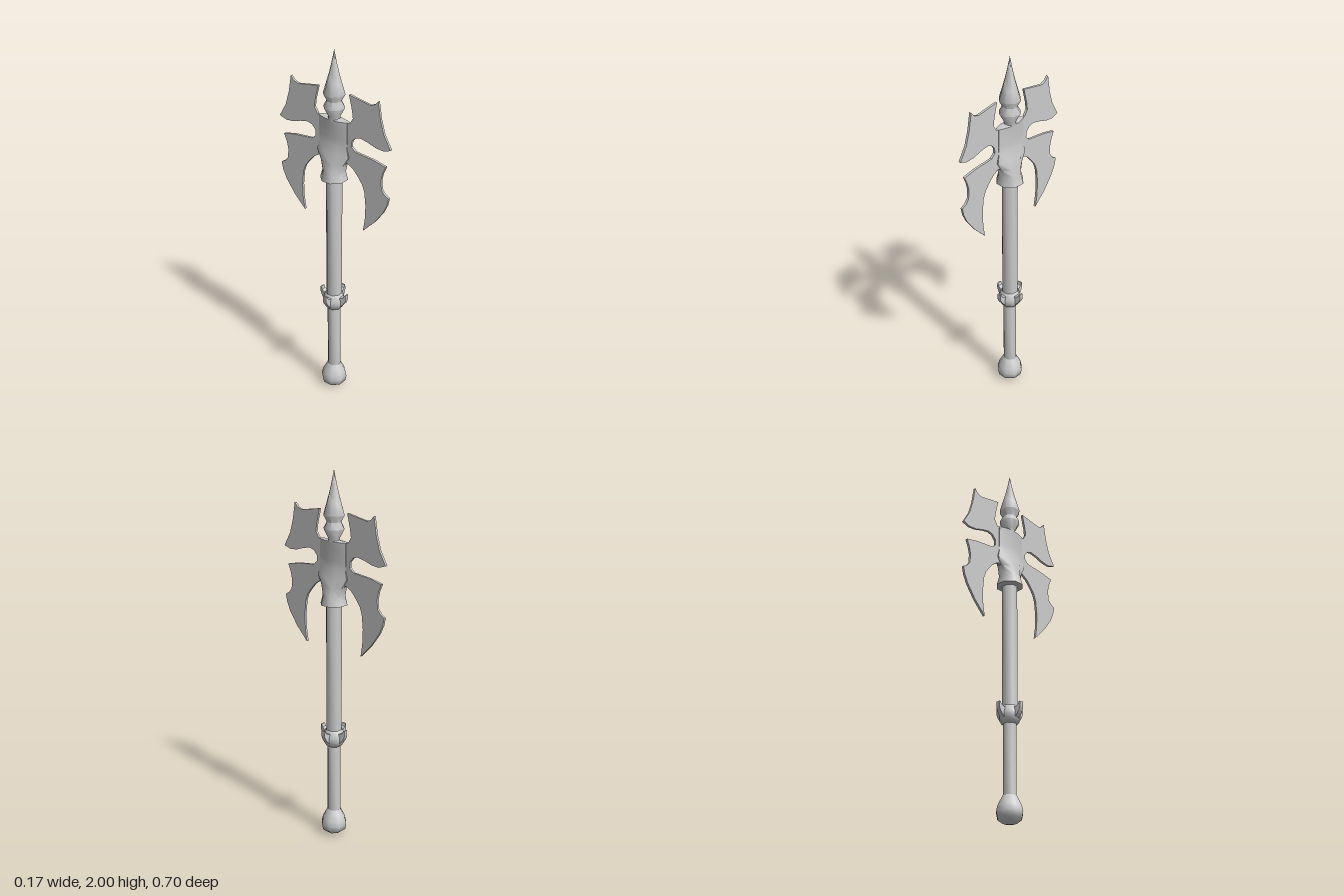
import * as THREE from 'three';
import { toCreasedNormals } from 'three/addons/utils/BufferGeometryUtils.js';

const material = new THREE.MeshStandardMaterial({ color: 0xcccccc });

function addMesh(parent, name, geometry) {
  const mesh = new THREE.Mesh(geometry, material);
  mesh.name = name;
  parent.add(mesh);
  return mesh;
}

// Eight-sided turned part with flats facing x and z; profile is [half width, y], bottom to top
function octagonal(profile, depthAt) {
  const points = profile.map(([r, y]) => new THREE.Vector2(r / Math.cos(Math.PI / 8), y));
  const geometry = new THREE.LatheGeometry(points, 8, Math.PI / 8);
  if (depthAt) {
    const p = geometry.attributes.position;
    for (let i = 0; i < p.count; i++) p.setZ(i, p.getZ(i) * depthAt(p.getY(i)));
  }
  return toCreasedNormals(geometry, 1);
}

// Plate cut from a [across, y] outline, centred on its thickness and lying in the z-y plane
function plate(outline, thickness) {
  const shape = new THREE.Shape(outline.map(([a, y]) => new THREE.Vector2(a, y)));
  const geometry = new THREE.ExtrudeGeometry(shape, { depth: thickness, bevelEnabled: false });
  return geometry.translate(0, 0, -thickness / 2).rotateY(-Math.PI / 2);
}

export function createModel() {
  const model = new THREE.Group();
  model.name = 'doubleAxe';

  // Handle
  addMesh(model, 'pommel', octagonal([
    [0, 0], [0.035, 0.008], [0.06, 0.028], [0.066, 0.06], [0.06, 0.09], [0.046, 0.12], [0.034, 0.145],
  ]));
  addMesh(model, 'grip', octagonal([[0.034, 0.13], [0.034, 0.54]]));
  addMesh(model, 'shaft', octagonal([[0.04, 0.55], [0.04, 1.31]]));

  // Collar with four upturned prongs
  addMesh(model, 'collar', octagonal([
    [0.03, 0.515], [0.042, 0.525], [0.055, 0.55], [0.055, 0.575], [0.046, 0.605], [0.038, 0.615],
  ]));
  const prongOutline = [
    [0.03, 0.535], [0.055, 0.545], [0.075, 0.57], [0.085, 0.592], [0.084, 0.622],
    [0.077, 0.622], [0.072, 0.607], [0.055, 0.598], [0.03, 0.6],
  ];
  const prongGeometry = plate(prongOutline, 0.04);
  const prongPosition = prongGeometry.attributes.position;
  for (let i = 0; i < prongPosition.count; i++) {
    const taper = THREE.MathUtils.mapLinear(prongPosition.getZ(i), 0.03, 0.085, 1, 0.55);
    prongPosition.setX(i, prongPosition.getX(i) * taper);
  }
  const creasedProng = toCreasedNormals(prongGeometry, 0.7);
  for (let i = 0; i < 4; i++) {
    addMesh(model, 'prong', creasedProng).rotation.y = i * Math.PI / 2;
  }

  // Socket: octagonal at its foot, spreading in z into a lens where the blades join
  const spread = (y) => 1 + 3.2 * THREE.MathUtils.smoothstep(y, 1.36, 1.52)
    - 1.1 * THREE.MathUtils.smoothstep(y, 1.56, 1.64);
  addMesh(model, 'socket', octagonal([
    [0.036, 1.297], [0.068, 1.305], [0.057, 1.35], [0.047, 1.4], [0.034, 1.45],
    [0.021, 1.5], [0.021, 1.54], [0.024, 1.6], [0.028, 1.638], [0, 1.645],
  ], spread));

  // Blades: one half outline from top centre to bottom centre, mirrored
  const half = [
    [0.1, 1.638], [0.12, 1.67], [0.115, 1.71], [0.095, 1.79], [0.222, 1.768], [0.25, 1.778],
    [0.27, 1.8], [0.285, 1.71], [0.307, 1.635], [0.349, 1.562], [0.305, 1.548], [0.26, 1.552],
    [0.21, 1.568], [0.164, 1.577], [0.135, 1.568], [0.115, 1.545], [0.113, 1.515], [0.138, 1.493],
    [0.2, 1.487], [0.25, 1.482], [0.323, 1.466], [0.305, 1.425], [0.296, 1.385], [0.3, 1.335],
    [0.318, 1.312], [0.344, 1.297], [0.335, 1.255], [0.312, 1.206], [0.26, 1.135], [0.19, 1.063],
    [0.201, 1.13], [0.204, 1.21], [0.196, 1.286], [0.182, 1.325], [0.16, 1.355], [0.127, 1.392],
    [0.09, 1.415], [0.07, 1.405], [0.045, 1.38],
  ];
  const mirrored = half.map(([z, y]) => [-z, y]).reverse();
  addMesh(model, 'blades', toCreasedNormals(plate([...half, ...mirrored], 0.013), 0.6));

  // Spear point
  addMesh(model, 'spearPoint', octagonal([
    [0.028, 1.63], [0.03, 1.655], [0.052, 1.7], [0.035, 1.735], [0.053, 1.77],
    [0.037, 1.83], [0.024, 1.88], [0.013, 1.93], [0, 2],
  ]));

  return model;
}
